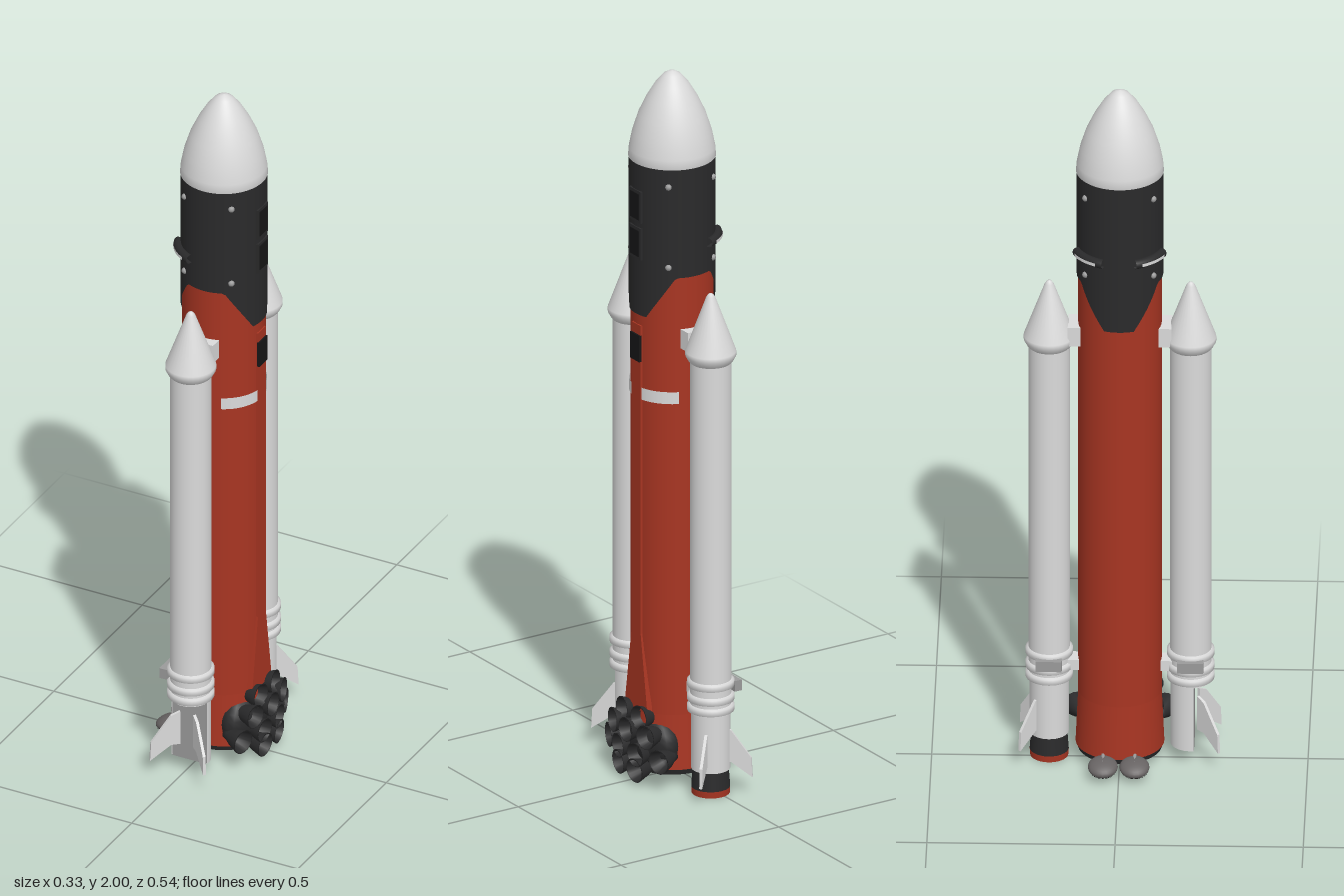
import * as THREE from 'three';

const mat = (name, color, double) => {
  const m = new THREE.MeshStandardMaterial({ color });
  m.name = name;
  if (double) m.side = THREE.DoubleSide;
  return m;
};

export function createModel() {
  const red = mat('red', 0xa83522, true);
  const black = mat('black', 0x2a2a2b, true);
  const darker = mat('deepBlack', 0x161617);
  const white = mat('white', 0xdadada, true);
  const grey = mat('grey', 0x9a9a9a, true);
  const podGrey = mat('podGrey', 0x666262);

  const root = new THREE.Group();
  const core = new THREE.Group();
  core.name = 'coreStage';
  core.position.x = 0.012;
  root.add(core);

  const add = (parent, name, geo, m, x = 0, y = 0, z = 0) => {
    const mesh = new THREE.Mesh(geo, m);
    mesh.name = name;
    mesh.position.set(x, y, z);
    parent.add(mesh);
    return mesh;
  };
  const tube = (parent, name, r0, r1, y0, y1, m, seg = 40, open = false) =>
    add(parent, name, new THREE.CylinderGeometry(r1, r0, y1 - y0, seg, 1, open), m, 0, (y0 + y1) / 2, 0);
  const lathe = (pts, seg = 40) => new THREE.LatheGeometry(pts.map(p => new THREE.Vector2(p[0], p[1])), seg);
  const smooth = t => THREE.MathUtils.clamp(t, 0, 1);

  // Red tank, slightly wider at its foot
  tube(core, 'tank', 0.111, 0.111, 0.2, 1.5, red, 48);
  tube(core, 'tankFoot', 0.118, 0.111, 0.045, 0.2, red, 48);
  tube(core, 'basePlate', 0.112, 0.117, 0.03, 0.046, black, 48);

  // Black upper sleeve: lower edge dips on the two sides
  const sleeve = new THREE.CylinderGeometry(0.115, 0.115, 1, 72, 1, true);
  const p = sleeve.attributes.position;
  for (let i = 0; i < p.count; i++) {
    if (p.getY(i) > 0) p.setY(i, 1.765);
    else {
      const phi = Math.atan2(Math.abs(p.getZ(i)), Math.abs(p.getX(i))) * 180 / Math.PI;
      p.setY(i, 1.33 + 0.12 * smooth((phi - 20) / 42));
    }
  }
  add(core, 'upperSleeve', sleeve, black);

  // Nose
  add(core, 'nose', lathe([[0.11, 1.755], [0.117, 1.76], [0.115, 1.785], [0.106, 1.83], [0.09, 1.88],
    [0.068, 1.927], [0.045, 1.965], [0.024, 1.99], [0.01, 1.998], [0, 2]], 48), white);

  // White band around the engine side
  add(core, 'whiteBand', new THREE.CylinderGeometry(0.114, 0.114, 0.034, 32, 1, true,
    Math.PI / 2 - 1.15, 2.3), white, 0, 1.107, 0);

  // Cable duct, flared at its foot
  const duct = new THREE.Shape();
  [[-0.022, 1.3], [0.022, 1.3], [0.022, 0.42], [0.055, 0.2], [-0.055, 0.2], [-0.022, 0.42]]
    .forEach(([x, y], i) => (i ? duct.lineTo(x, y) : duct.moveTo(x, y)));
  const ductGeo = new THREE.ExtrudeGeometry(duct, { depth: 0.016, bevelEnabled: false });
  add(core, 'cableDuct', ductGeo, red, 0.098, 0, 0).rotation.y = Math.PI / 2;

  // Hatches on the side
  add(core, 'tankHatch', new THREE.BoxGeometry(0.008, 0.075, 0.045), darker, 0.115, 1.235, 0);
  for (const y of [1.535, 1.64]) {
    add(core, 'hatchFrame', new THREE.BoxGeometry(0.008, 0.09, 0.056), black, 0.114, y, 0);
    add(core, 'hatch', new THREE.BoxGeometry(0.006, 0.074, 0.042), darker, 0.117, y, 0);
  }

  // Small thruster ports
  for (const sx of [-1, 1]) for (const sz of [-1, 1]) for (const y of [1.48, 1.71])
    add(core, 'thrusterPort', new THREE.SphereGeometry(0.009, 10, 8), grey, sx * 0.07, y, sz * 0.09);

  // Curved rails on the sleeve with a white stripe
  for (const s of [-1, 1]) {
    const arc = (name, r, h, w, m) => {
      const start = (s > 0 ? -Math.PI / 4 : -Math.PI * 3 / 4) - w / 2;
      add(core, name, new THREE.CylinderGeometry(r, r, h, 14, 1, true, start, w), m, 0, 1.535, 0);
    };
    const rail = add(core, 'rail', new THREE.TorusGeometry(0.121, 0.013, 10, 16, 0.85), black, 0, 1.535, 0);
    rail.rotation.set(Math.PI / 2, 0, s > 0 ? Math.PI * 3 / 4 - 0.425 : -Math.PI * 3 / 4 - 0.425);
    arc('railStripe', 0.135, 0.009, 0.6, white);
  }

  // Engine cluster fanned out on the +x side
  const cluster = new THREE.Group();
  cluster.name = 'engineCluster';
  core.add(cluster);
  const mount = add(cluster, 'engineMount', new THREE.SphereGeometry(1, 20, 14), black, 0.07, 0.11, 0);
  mount.scale.set(0.055, 0.085, 0.115);
  const bell = lathe([[0, 0], [0.014, 0], [0.016, 0.012], [0.024, 0.03], [0.034, 0.065], [0.031, 0.065], [0.02, 0.03], [0, 0.02]], 18);
  const rows = [[0.045, [-0.035, 0.035]], [0.088, [-0.108, -0.037, 0.037, 0.108]],
    [0.145, [-0.07, 0, 0.07]], [0.186, [-0.036, 0.036]]];
  for (const [y, zs] of rows) for (const z of zs) {
    const dir = new THREE.Vector3(1, (y - 0.11) * 0.8, z * 3).normalize();
    const end = 0.148 - z * z * 2.2 - (y > 0.17 ? 0.012 : 0);
    const e = add(cluster, 'engineBell', bell, black, end - dir.x * 0.065, y, z - dir.z * 0.02);
    e.quaternion.setFromUnitVectors(new THREE.Vector3(0, 1, 0), dir);
  }

  // Rounded pods on struts on the -x side
  for (const s of [-1, 1]) {
    const pod = add(root, 'pod', new THREE.SphereGeometry(0.04, 20, 14), podGrey, -0.127, 0.036, s * 0.042);
    pod.scale.set(1, 0.45, 1);
    pod.rotation.z = 0.3;
    const under = add(root, 'podUnderside', new THREE.SphereGeometry(0.0405, 20, 8, 0, Math.PI * 2, Math.PI * 0.55, Math.PI * 0.45), darker, -0.127, 0.035, s * 0.042);
    under.scale.copy(pod.scale);
    under.rotation.z = 0.3;
    const strut = add(root, 'podStrut', new THREE.CylinderGeometry(0.005, 0.005, 0.06, 8), grey, -0.1, 0.055, s * 0.042);
    strut.rotation.z = Math.PI / 2 + 0.2;
  }

  // Fin outline: x is outward, y is up
  const finShape = new THREE.Shape();
  [[0.03, 0.19], [0.055, 0.18], [0.11, 0.105], [0.113, 0.05], [0.055, 0.09], [0.03, 0.09]]
    .forEach(([x, y], i) => (i ? finShape.lineTo(x, y) : finShape.moveTo(x, y)));
  const finGeo = new THREE.ExtrudeGeometry(finShape, { depth: 0.008, bevelEnabled: false });
  finGeo.translate(0, 0, -0.004);

  // Side boosters
  for (const s of [1, -1]) {
    const b = new THREE.Group();
    b.name = s > 0 ? 'frontBooster' : 'backBooster';
    b.position.set(0.012, 0, s * 0.188);
    root.add(b);
    tube(b, 'boosterBody', 0.055, 0.055, 0.23, 1.24, white, 36);
    add(b, 'boosterCone', lathe([[0.05, 1.225], [0.06, 1.235], [0.068, 1.25], [0.068, 1.262], [0.012, 1.415], [0.006, 1.423], [0, 1.425]], 32), white);
    for (const y of [0.245, 0.275, 0.315])
      add(b, 'boosterRing', lathe([[0.054, -0.011], [0.063, -0.008], [0.063, 0.008], [0.054, 0.011]], 36), white, 0, y, 0);

    if (s > 0) {
      // Open skirt: curved inner wall closed by a flat outer face
      add(b, 'skirt', new THREE.CylinderGeometry(0.054, 0.054, 0.195, 28, 1, false, Math.PI / 2 - 0.15, Math.PI + 0.3), white, 0, 0.1375, 0);
      add(b, 'skirtFace', new THREE.BoxGeometry(0.1, 0.195, 0.008), grey, 0, 0.1375, 0.006);
    } else {
      tube(b, 'skirt', 0.052, 0.052, 0.07, 0.235, white, 32);
      tube(b, 'nozzle', 0.052, 0.048, 0.018, 0.072, black, 28);
      tube(b, 'nozzleRim', 0.051, 0.052, 0, 0.018, red, 28);
    }

    // Fins
    for (const sx of [-1, 1])
      add(b, 'fin', finGeo, white).rotation.y = Math.atan2(-s * 0.075, sx * 0.08);

    // Equipment box beside the rings
    add(b, 'equipmentBox', new THREE.BoxGeometry(0.022, 0.03, 0.07), grey, -0.065, 0.3, 0);

    // Brackets to the core
    add(b, 'upperBracket', new THREE.BoxGeometry(0.08, 0.055, 0.04), white, 0, 1.275, -s * 0.07);
    add(b, 'lowerBracket', new THREE.BoxGeometry(0.05, 0.03, 0.04), white, 0, 0.28, -s * 0.065);
  }
  return root;
}
